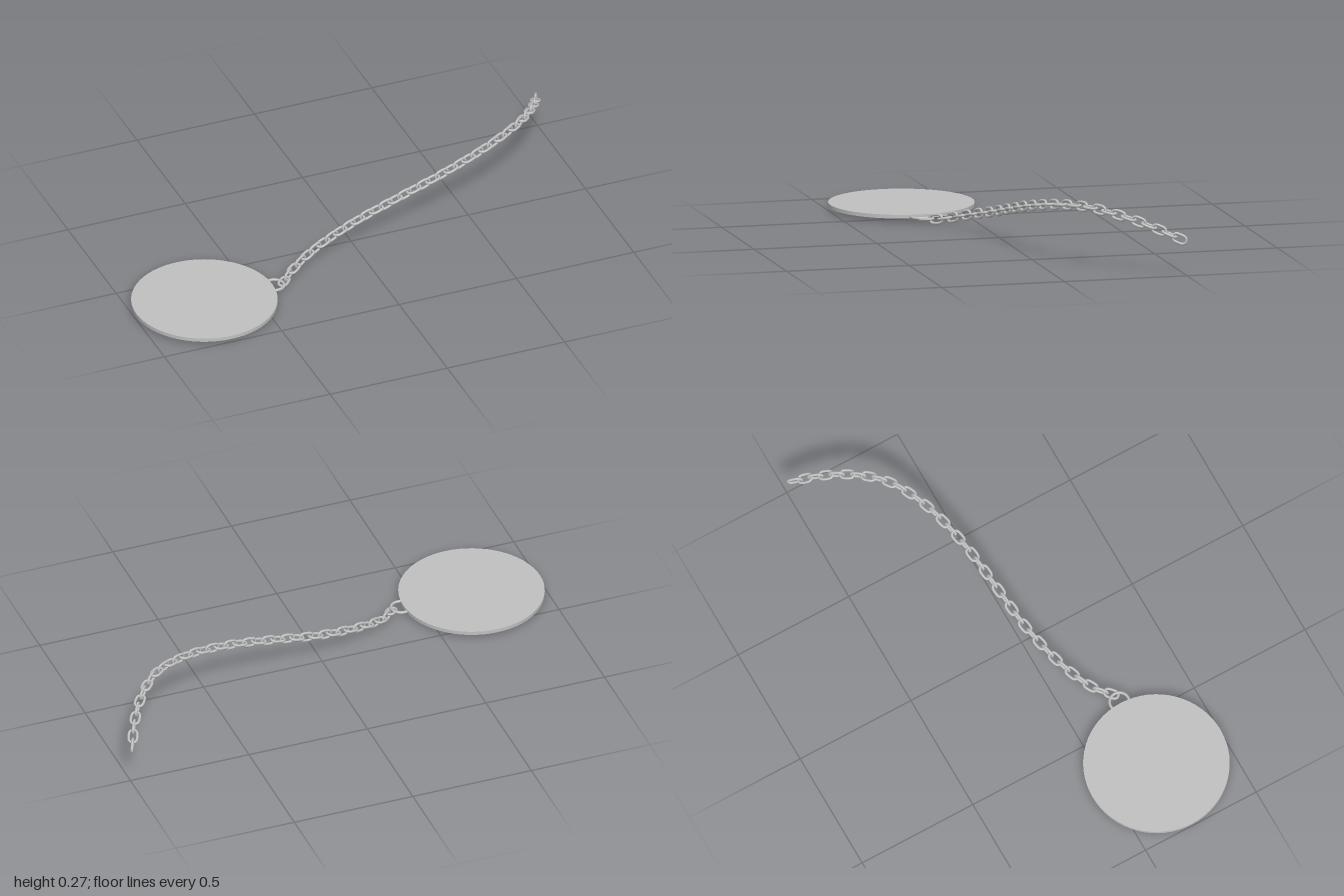
import * as THREE from 'three';

export function createModel() {
  const model = new THREE.Group();
  const silver = new THREE.MeshStandardMaterial({ color: 0xc0c0c0 });
  silver.name = 'silver';

  const add = (geometry, name, parent = model) => {
    const mesh = new THREE.Mesh(geometry, silver);
    mesh.name = name;
    parent.add(mesh);
    return mesh;
  };

  // Flat round tag
  add(new THREE.CylinderGeometry(0.289, 0.289, 0.015, 64), 'disc').position.set(-0.711, 0.0275, 0.211);

  // Flat ring joining the tag to the chain
  const ring = add(new THREE.TorusGeometry(0.039, 0.006, 8, 32), 'ring');
  ring.rotation.x = Math.PI / 2;
  ring.position.set(-0.413, 0.0275, 0.211);

  // Oval link: straight sides with half-round ends, long axis on x
  const endRadius = 0.0165, halfStraight = 0.0125, wire = 0.0055;
  const outline = [];
  for (const side of [1, -1]) {
    for (let i = 0; i <= 6; i++) {
      const a = -Math.PI / 2 + (i / 6) * Math.PI;
      outline.push(new THREE.Vector3(side * (halfStraight + endRadius * Math.cos(a)), side * endRadius * Math.sin(a), 0));
    }
  }
  const linkGeometry = new THREE.TubeGeometry(new THREE.CatmullRomCurve3(outline, true), 32, wire, 8, true);

  // Hanging path of the chain
  const path = new THREE.CatmullRomCurve3([
    [-0.367, 0.026, 0.2], [-0.32, 0.033, 0.155], [-0.2, 0.065, 0.09], [0, 0.112, 0.03],
    [0.2, 0.16, 0], [0.4, 0.205, -0.03], [0.6, 0.241, -0.085], [0.75, 0.254, -0.16],
    [0.82, 0.245, -0.22], [0.89, 0.222, -0.305], [0.945, 0.188, -0.395], [0.982, 0.153, -0.474],
  ].map(p => new THREE.Vector3(...p)));

  // Links alternate between lying flat and standing upright
  const chain = new THREE.Group();
  chain.name = 'chain';
  model.add(chain);
  let steps = Math.round(path.getLength() / 0.0445);
  if (steps % 2 === 0) steps++;
  const up = new THREE.Vector3(0, 1, 0);
  for (let i = 0; i <= steps; i++) {
    const t = i / steps;
    const along = path.getTangentAt(t);
    const across = new THREE.Vector3().crossVectors(along, up).normalize();
    const rise = new THREE.Vector3().crossVectors(across, along);
    const link = add(linkGeometry, 'chainLink', chain);
    link.quaternion.setFromRotationMatrix(new THREE.Matrix4().makeBasis(along, rise, across));
    if (i % 2 === 0) link.rotateX(Math.PI / 2);
    link.position.copy(path.getPointAt(t));
  }
  return model;
}
